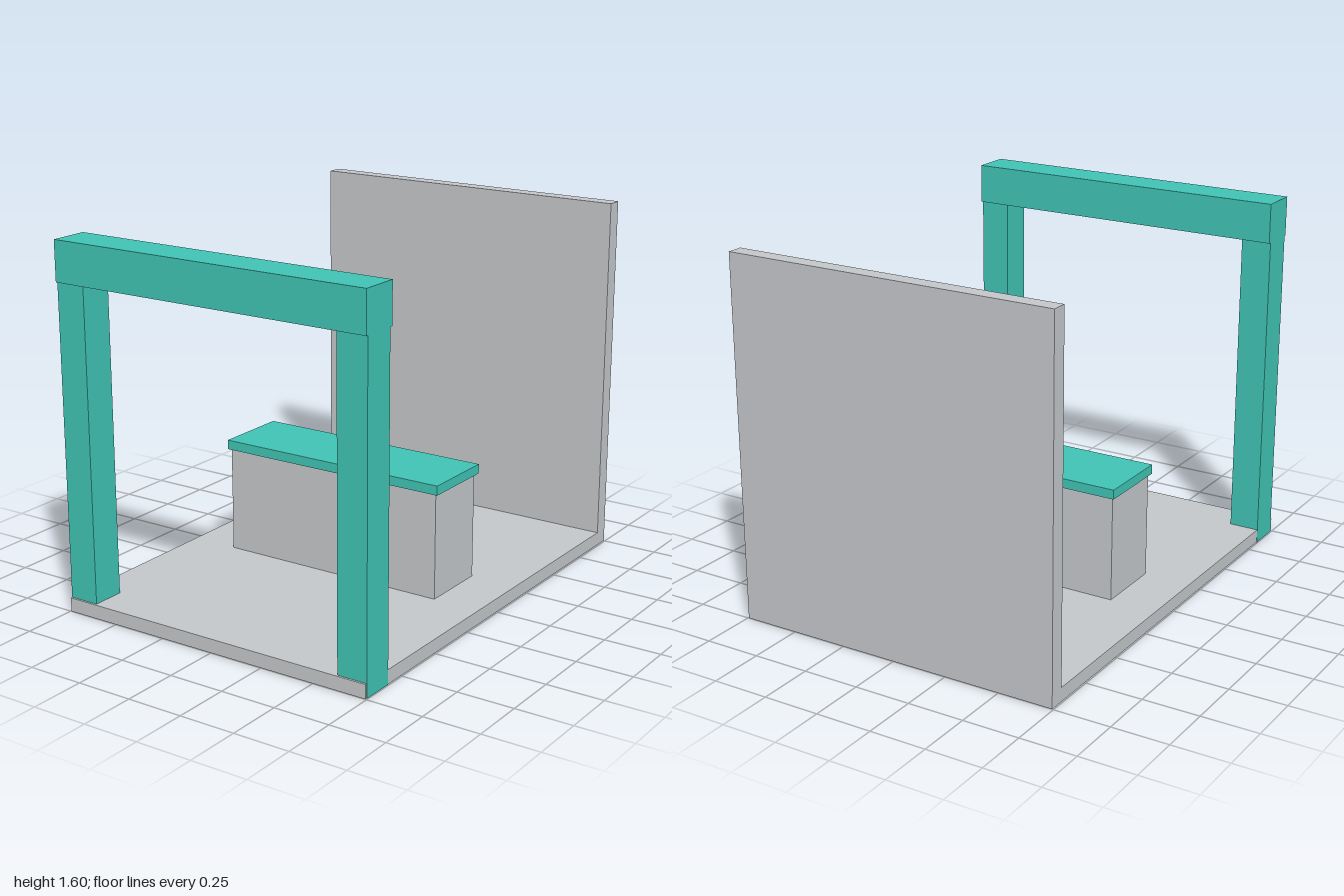
import * as THREE from 'three';

export function createModel() {
  const group = new THREE.Group();
  const teal = new THREE.MeshStandardMaterial({ name: 'teal', color: 0x40c2b3 });
  const grey = new THREE.MeshStandardMaterial({ name: 'light grey', color: 0xc3c6c9 });

  // Box given by its [min, max] extents on each axis
  function box(name, material, [x0, x1], [y0, y1], [z0, z1]) {
    const mesh = new THREE.Mesh(new THREE.BoxGeometry(x1 - x0, y1 - y0, z1 - z0), material);
    mesh.position.set((x0 + x1) / 2, (y0 + y1) / 2, (z0 + z1) / 2);
    mesh.name = name;
    group.add(mesh);
  }

  // Floor and back wall as one L-shaped profile swept across the width
  const halfWidth = 0.745;
  const profile = new THREE.Shape([
    [-1, 0.001], [1, 0.001], [1, 0.062], [-0.93, 0.062], [-0.93, 1.597], [-1, 1.597],
  ].map(([z, y]) => new THREE.Vector2(-z, y)));
  const shell = new THREE.ExtrudeGeometry(profile, { depth: halfWidth * 2, bevelEnabled: false });
  shell.translate(0, 0, -halfWidth).rotateY(Math.PI / 2);
  const floorAndWall = new THREE.Mesh(shell, grey);
  floorAndWall.name = 'floorAndBackWall';
  group.add(floorAndWall);

  // Front gateway: two posts, let into the floor, under a beam
  box('leftPost', teal, [0.61, 0.746], [0, 1.425], [0.843, 0.991]);
  box('rightPost', teal, [-0.746, -0.61], [0, 1.425], [0.843, 0.991]);
  box('beam', teal, [-0.746, 0.746], [1.425, 1.6], [0.829, 1]);

  // Counter with an overhanging top
  box('counterBody', grey, [-0.531, 0.531], [0.062, 0.53], [-0.157, 0.155]);
  box('counterTop', teal, [-0.544, 0.544], [0.53, 0.572], [-0.173, 0.166]);

  return group;
}
